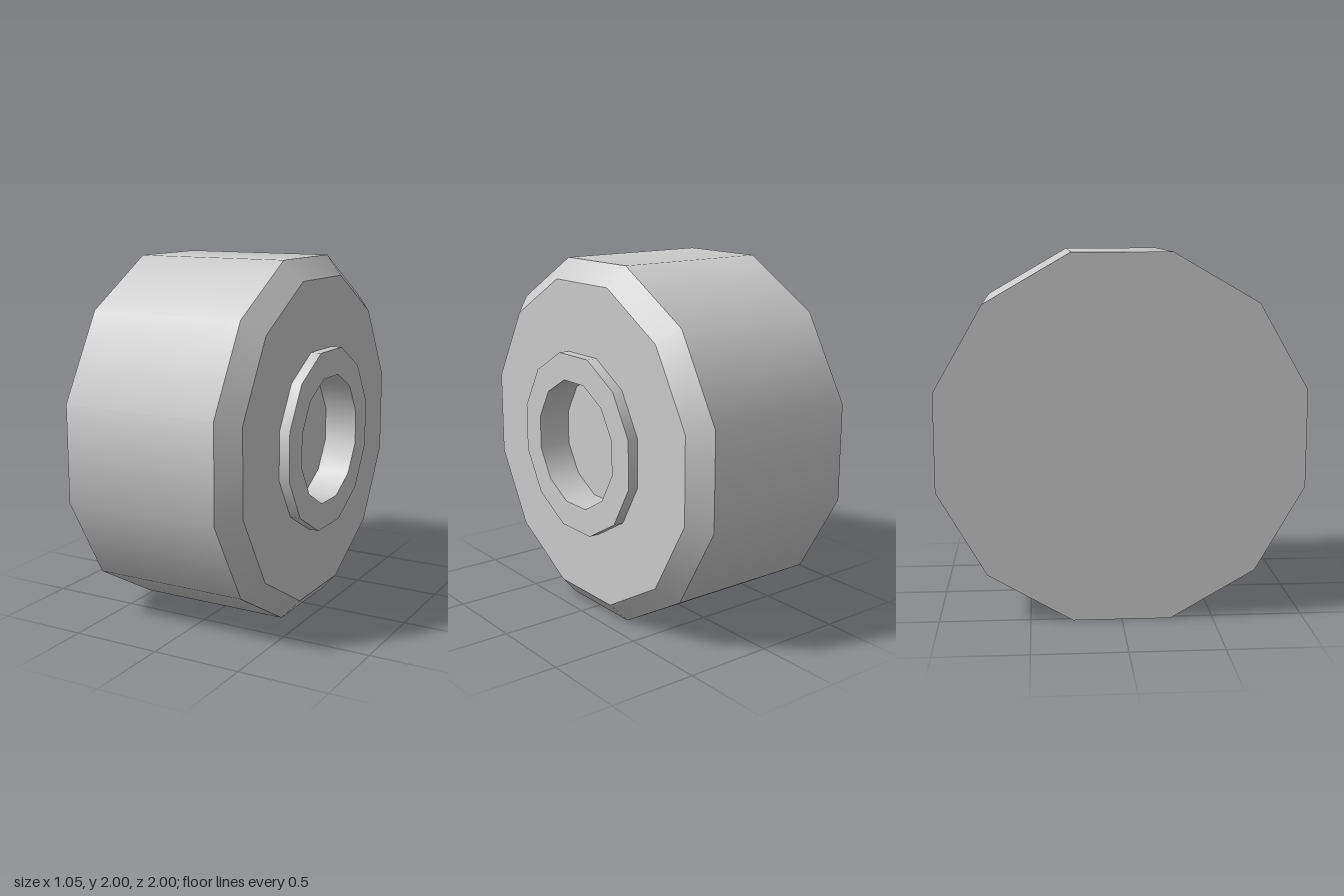
import * as THREE from 'three';
import { mergeGeometries } from 'three/addons/utils/BufferGeometryUtils.js';

const SIDES = 12;
const CORNER = 1 / Math.cos(Math.PI / SIDES); // flat radius -> corner radius

// Turn a [flat radius, x] profile around the x axis: smooth around, sharp between steps
function turned(name, profile, material) {
  const bands = [];
  for (let i = 0; i < profile.length - 1; i++) {
    const points = [profile[i], profile[i + 1]].map(([r, x]) => new THREE.Vector2(r * CORNER, x));
    bands.push(new THREE.LatheGeometry(points, SIDES, Math.PI / SIDES));
  }
  const geometry = mergeGeometries(bands);
  geometry.rotateZ(-Math.PI / 2);
  const mesh = new THREE.Mesh(geometry, material);
  mesh.name = name;
  mesh.position.y = 1;
  return mesh;
}

export function createModel() {
  const group = new THREE.Group();
  group.name = 'wheel';
  const material = new THREE.MeshStandardMaterial({ color: 0xcccccc });

  // Tyre: closed back, straight tread, chamfer, flat outer face
  group.add(turned('tyre', [
    [0, -0.527], [1, -0.527], [1, 0.367], [0.89, 0.467], [0.5, 0.467],
  ], material));

  // Hub: raised collar with a recessed floor
  group.add(turned('hub', [
    [0.5, 0.467], [0.5, 0.527], [0.352, 0.527], [0.352, 0.335], [0, 0.335],
  ], material));

  return group;
}
